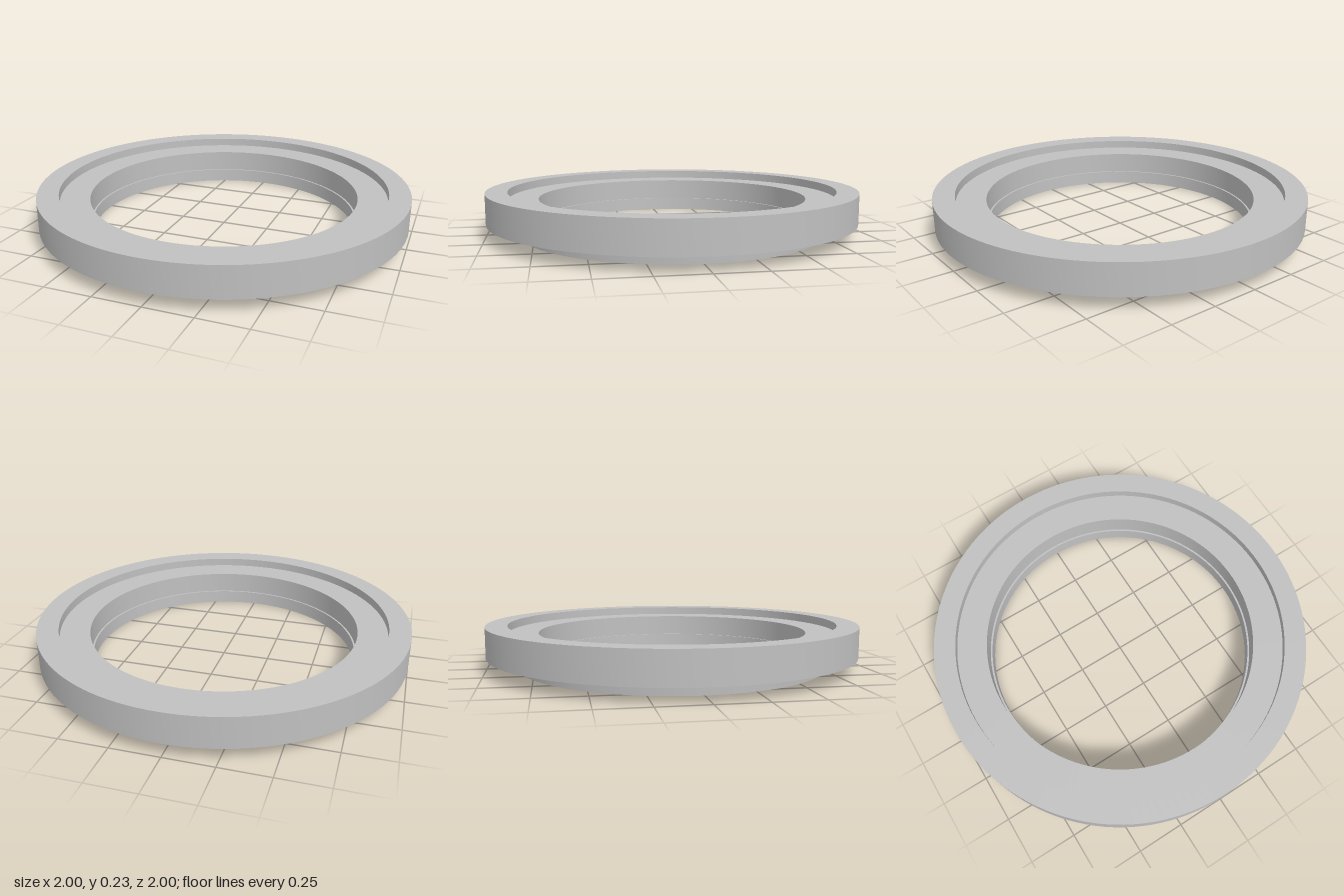
import * as THREE from 'three';
import { toCreasedNormals } from 'three/addons/utils/BufferGeometryUtils.js';

export function createModel() {
  const group = new THREE.Group();
  group.name = 'flangedRing';

  const grey = new THREE.MeshStandardMaterial({ color: 0xc0c0c0 });
  grey.name = 'plain grey';

  // Closed cross-section as [radius, height], counter-clockwise
  const profile = [
    [0.713, 0], [0.828, 0],           // underside of the spigot
    [0.833, 0.073],                   // slightly tapered spigot wall
    [1, 0.073], [1, 0.235],           // flange underside and outer wall
    [0.885, 0.235], [0.885, 0.19],    // rim and recess wall
    [0.725, 0.19], [0.725, 0.073],    // recess floor and upper bore
    [0.715, 0.073], [0.713, 0],       // small inner step and lower bore
  ].map(([r, y]) => new THREE.Vector2(r, y));

  const geometry = toCreasedNormals(new THREE.LatheGeometry(profile, 128), Math.PI / 6);
  const ring = new THREE.Mesh(geometry, grey);
  ring.name = 'ringBody';
  group.add(ring);

  return group;
}
